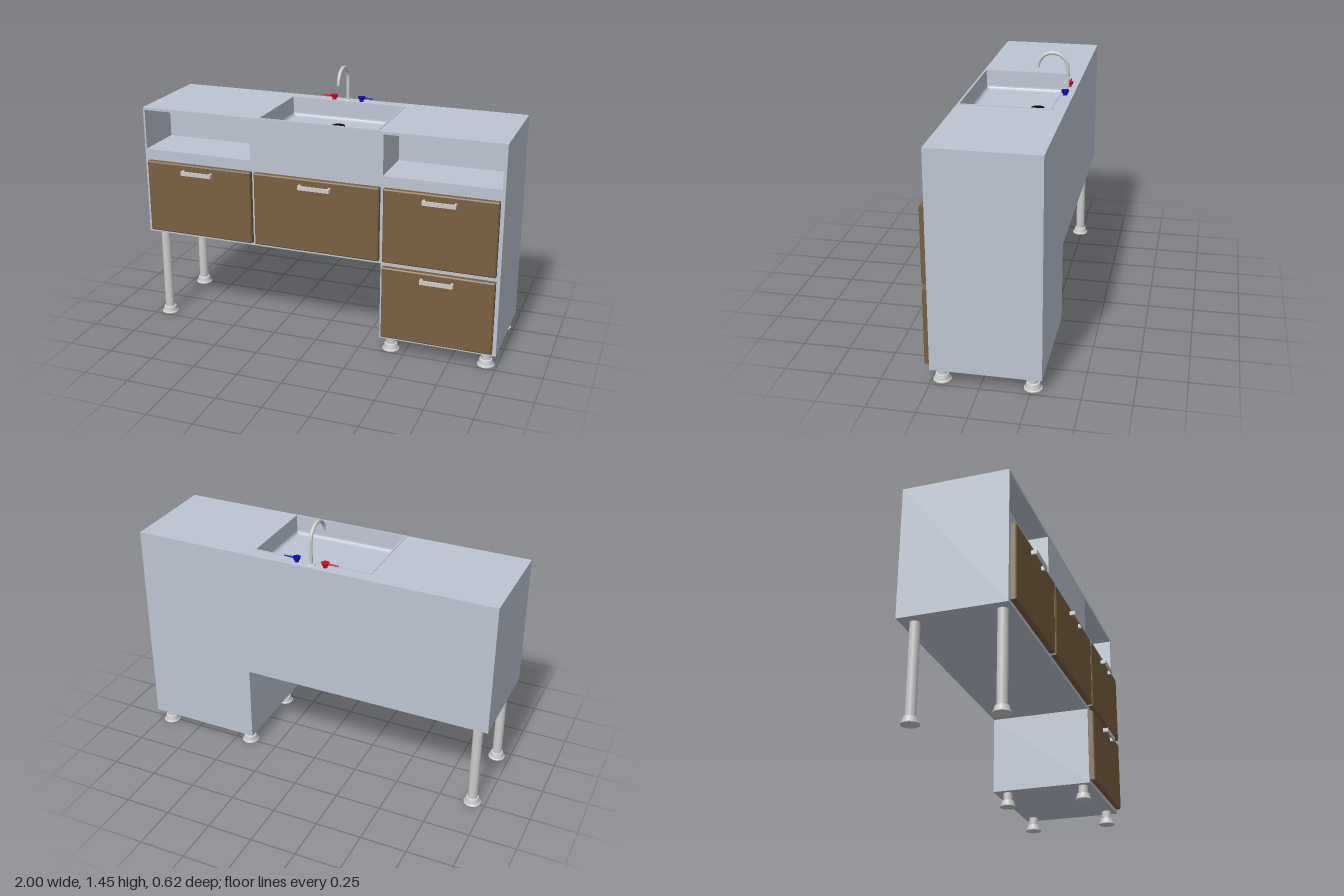
import * as THREE from 'three';

const steel = new THREE.MeshStandardMaterial({ color: 0xcccccc });
const panel = new THREE.MeshStandardMaterial({ color: 0xbcc4d2, side: THREE.DoubleSide });
const wood = new THREE.MeshStandardMaterial({ color: 0x7a6040 });
const black = new THREE.MeshStandardMaterial({ color: 0x0a0a0a });
const red = new THREE.MeshStandardMaterial({ color: 0xcc1020 });
const blue = new THREE.MeshStandardMaterial({ color: 0x1010b0 });

const TOP = 1.235, FRONT = 0.25, BACK = -0.31;

function add(parent, name, geometry, material, x = 0, y = 0, z = 0) {
  const mesh = new THREE.Mesh(geometry, material);
  mesh.name = name;
  mesh.position.set(x, y, z);
  parent.add(mesh);
  return mesh;
}

// Flat-shaded surface through matching rings of [x, y, z] points
function loft(rings, closed = true) {
  const pos = [];
  for (let r = 0; r < rings.length - 1; r++) {
    const a = rings[r], b = rings[r + 1], n = a.length;
    for (let i = 0; i < (closed ? n : n - 1); i++) {
      const j = (i + 1) % n;
      pos.push(...a[i], ...a[j], ...b[j], ...a[i], ...b[j], ...b[i]);
    }
  }
  const g = new THREE.BufferGeometry();
  g.setAttribute('position', new THREE.Float32BufferAttribute(pos, 3));
  g.computeVertexNormals();
  return g;
}

const rect = (x0, x1, y0, y1) => [[x0, y0], [x1, y0], [x1, y1], [x0, y1]];
const toShape = (pts) => new THREE.Shape(pts.map(([x, y]) => new THREE.Vector2(x, y)));
const atZ = (pts, z) => pts.map(([x, y]) => [x, y, z]);

function cabinet() {
  const g = new THREE.Group();
  g.name = 'cabinet';
  const outline = [[-1, TOP], [-1, 0.515], [0.365, 0.515], [0.365, 0.08], [1, 0.08], [1, TOP]];
  const niches = [rect(-0.99, -0.37, 1.0, 1.22), rect(0.37, 0.985, 1.0, 1.22)];

  const face = toShape(outline);
  face.holes = niches.map(toShape);
  add(g, 'frontFrame', new THREE.ShapeGeometry(face), panel, 0, 0, FRONT);
  const mirrored = toShape(outline.map(([x, y]) => [-x, y]));
  add(g, 'backPanel', new THREE.ShapeGeometry(mirrored).rotateY(Math.PI), panel, 0, 0, BACK);
  add(g, 'sidesAndUnderside', loft([atZ(outline, BACK), atZ(outline, FRONT)], false), panel);

  // Open shelves: walls, then the back
  for (const n of niches) {
    add(g, 'shelfWalls', loft([atZ(n, FRONT), atZ(n, -0.03)]), panel);
    add(g, 'shelfBack', new THREE.ShapeGeometry(toShape(n)), panel, 0, 0, -0.03);
  }

  // Worktop with the basin opening (shape y becomes -z)
  const top = toShape(rect(-1, 1, -FRONT, -BACK));
  top.holes = [toShape(rect(-0.315, 0.335, -0.24, 0.235))];
  add(g, 'worktop', new THREE.ShapeGeometry(top).rotateX(-Math.PI / 2), panel, 0, TOP, 0);
  return g;
}

function sink() {
  const g = new THREE.Group();
  g.name = 'sink';
  const ring = (inset, y) => rect(-0.315 + inset, 0.335 - inset, -0.235 + inset, 0.24 - inset)
    .reverse().map(([x, z]) => [x, y, z]);
  const rings = [ring(-0.006, TOP), ring(-0.006, TOP + 0.003), ring(0.003, TOP + 0.003), ring(0.006, 1.15)];
  for (let i = 1; i <= 4; i++) {
    const a = (i / 4) * Math.PI / 2;
    rings.push(ring(0.006 + 0.02 * (1 - Math.cos(a)), 1.15 - 0.02 * Math.sin(a)));
  }
  rings.push(Array(4).fill([0.01, 1.13, 0]));
  add(g, 'basin', loft(rings), panel);
  add(g, 'drain', new THREE.CylinderGeometry(0.036, 0.036, 0.004, 32), black, 0, 1.131, -0.11);
  return g;
}

function drawer(x0, x1, y0, y1, handleX, handleY) {
  const g = new THREE.Group();
  g.name = 'drawer';
  const b = 0.006;
  const front = new THREE.ExtrudeGeometry(toShape(rect(x0 + b, x1 - b, y0 + b, y1 - b)),
    { depth: 0.03 - b, bevelSize: b, bevelThickness: b, bevelSegments: 1 });
  add(g, 'drawerFront', front, wood, 0, 0, FRONT);

  // U-shaped bracket handle
  const u = toShape([[-0.088, 0], [-0.088, -0.032], [0.088, -0.032], [0.088, 0],
    [0.076, 0], [0.076, -0.023], [-0.076, -0.023], [-0.076, 0]]);
  const bar = new THREE.ExtrudeGeometry(u, { depth: 0.022, bevelEnabled: false })
    .translate(0, 0, -0.011).rotateX(-Math.PI / 2);
  add(g, 'handle', bar, steel, handleX, handleY, 0.278);
  return g;
}

function leg(x, z, height) {
  const profile = [[0, 0], [0.046, 0], [0.046, 0.005], [0.04, 0.009], [0.034, 0.035], [0.026, 0.038], [0.026, height]]
    .map(([r, y]) => new THREE.Vector2(r, y));
  // Separate lathe bands keep the edges crisp
  const g = new THREE.Group();
  g.name = 'leg';
  for (let i = 0; i < profile.length - 1; i++) {
    add(g, 'legSection', new THREE.LatheGeometry([profile[i], profile[i + 1]], 28), steel);
  }
  g.position.set(x, 0, z);
  return g;
}

function faucet() {
  const g = new THREE.Group();
  g.name = 'faucet';
  const R = 0.079, Y = 1.358, r = 0.0095;
  add(g, 'flange', new THREE.CylinderGeometry(0.022, 0.025, 0.006, 28), steel, 0, TOP + 0.003, 0);
  add(g, 'pipe', new THREE.CylinderGeometry(r, r, Y - TOP, 16), steel, 0, (Y + TOP) / 2, 0);
  const neck = new THREE.TorusGeometry(R, r, 16, 40, Math.PI).rotateY(Math.PI / 2);
  add(g, 'gooseneck', neck, steel, 0, Y, R);
  add(g, 'spoutEnd', new THREE.CylinderGeometry(r, r, 0.004, 16), steel, 0, Y, 2 * R);

  // Hot and cold taps with outward levers
  for (const [side, mat, name] of [[-1, red, 'hotTap'], [1, blue, 'coldTap']]) {
    const tap = new THREE.Group();
    tap.name = name;
    tap.position.set(side * 0.08, TOP, 0);
    add(tap, 'tapStem', new THREE.CylinderGeometry(0.011, 0.011, 0.014, 20), mat, 0, 0.007, 0);
    add(tap, 'tapCap', new THREE.CylinderGeometry(0.021, 0.016, 0.015, 24), mat, 0, 0.02, 0);
    const lever = new THREE.CylinderGeometry(0.003, 0.005, 0.07, 12).rotateZ(-side * Math.PI / 2);
    add(tap, 'tapLever', lever, mat, side * 0.036, 0.021, 0);
    g.add(tap);
  }
  g.position.z = -0.268;
  return g;
}

export function createModel() {
  const model = new THREE.Group();
  model.name = 'kitchenSinkUnit';
  model.add(cabinet(), sink(), faucet());
  model.add(
    drawer(-0.975, -0.36, 0.535, 0.94, -0.67, 0.9),
    drawer(-0.34, 0.358, 0.535, 0.94, 0.01, 0.9),
    drawer(0.38, 0.98, 0.535, 0.94, 0.68, 0.9),
    drawer(0.38, 0.98, 0.1, 0.505, 0.68, 0.465)
  );
  for (const [x, h, back] of [[-0.93, 0.52, -0.24], [0.417, 0.085, -0.24], [0.94, 0.085, -0.257]]) {
    model.add(leg(x, 0.2, h), leg(x, back, h));
  }
  return model;
}
